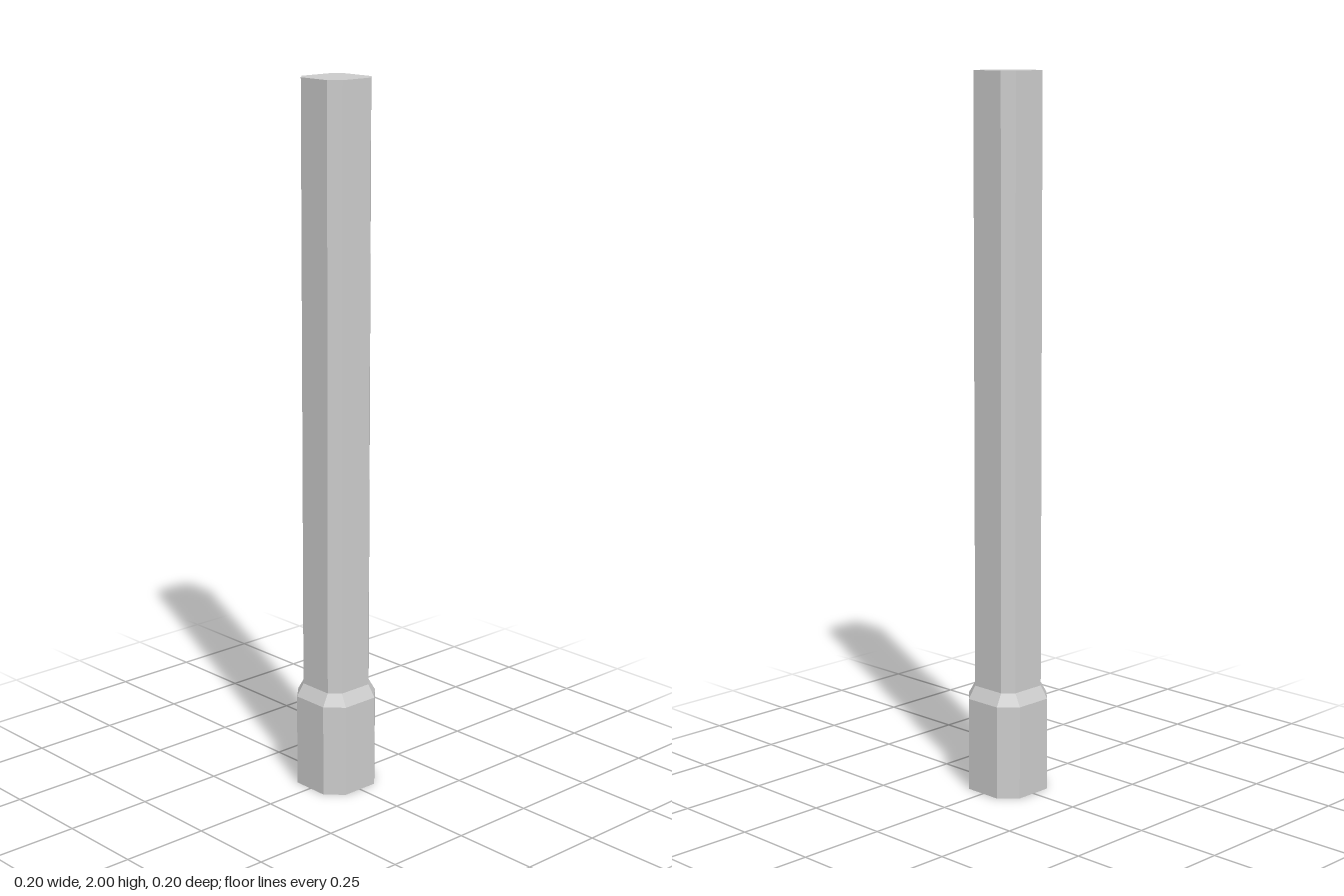
import * as THREE from 'three';

const material = new THREE.MeshStandardMaterial({ color: 0xcccccc, flatShading: true });

// Square section with cut corners: half is the half width, flat is half the length of each main side
function octagon(y, half, flat) {
  return [
    [half, -flat], [half, flat], [flat, half], [-flat, half],
    [-half, flat], [-half, -flat], [-flat, -half], [flat, -half],
  ].map(([x, z]) => new THREE.Vector3(x, y, z));
}

// Joins rings from bottom to top, closing the chosen ends
function loft(name, rings, { bottom = false, top = false }) {
  const points = [];
  const cap = (ring, up) => {
    const centre = new THREE.Vector3(0, ring[0].y, 0);
    ring.forEach((p, i) => {
      const q = ring[(i + 1) % ring.length];
      points.push(centre, up ? q : p, up ? p : q);
    });
  };
  for (let r = 0; r < rings.length - 1; r++) {
    const low = rings[r], high = rings[r + 1];
    for (let i = 0; i < low.length; i++) {
      const j = (i + 1) % low.length;
      points.push(low[i], high[i], low[j], low[j], high[i], high[j]);
    }
  }
  if (bottom) cap(rings[0], false);
  if (top) cap(rings[rings.length - 1], true);
  const geometry = new THREE.BufferGeometry().setFromPoints(points);
  geometry.computeVertexNormals();
  const mesh = new THREE.Mesh(geometry, material);
  mesh.name = name;
  return mesh;
}

export function createModel() {
  const group = new THREE.Group();
  group.name = 'post';

  // Wider foot with a sloped shoulder
  group.add(loft('base', [
    octagon(0, 0.1, 0.055),
    octagon(0.265, 0.1, 0.055),
    octagon(0.3, 0.079, 0.051),
  ], { bottom: true }));

  // Straight post with a flat top
  group.add(loft('shaft', [
    octagon(0.3, 0.079, 0.051),
    octagon(2, 0.079, 0.051),
  ], { top: true }));

  return group;
}
